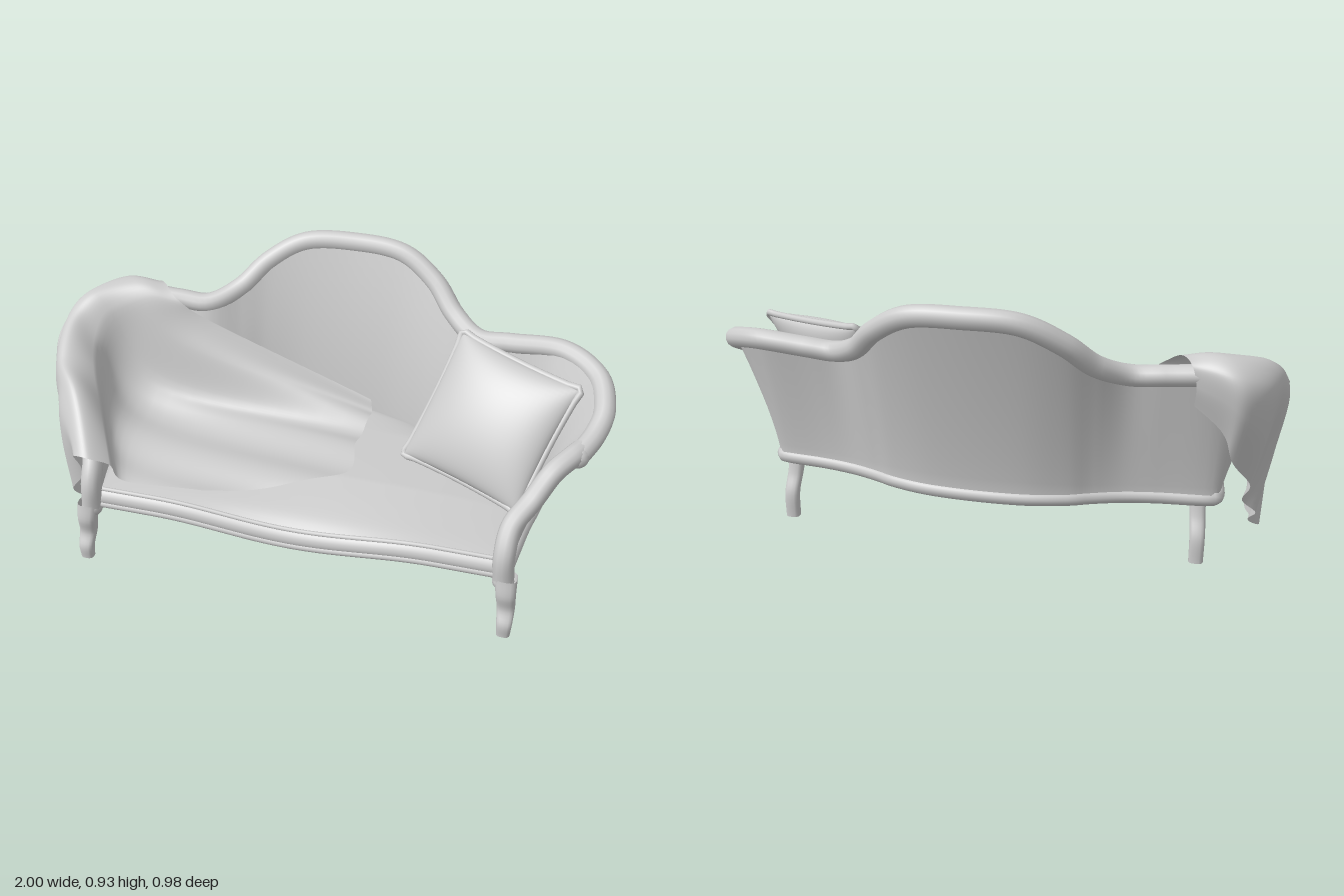
import * as THREE from 'three';
import { ParametricGeometry } from 'three/addons/geometries/ParametricGeometry.js';

const V = (p) => new THREE.Vector3(p[0], p[1], p[2]);
const lerp = THREE.MathUtils.lerp;
const mat = new THREE.MeshStandardMaterial({ color: 0xcccccc, roughness: 0.8, side: THREE.DoubleSide });

// smooth curve through points; "full" continues it with its mirror image
const curve = (pts) => new THREE.CatmullRomCurve3(pts.map(V), false, 'catmullrom', 0.5);
const full = (half) => curve([...half, ...half.slice(0, -1).reverse().map(([x, y, z]) => [-x, y, z])]);

// half paths run from the front of the left arm to the middle of the back
const RAIL = [[0.9, 0.54, 0.16], [0.945, 0.575, 0.07], [0.963, 0.62, -0.02], [0.925, 0.67, -0.14],
  [0.8, 0.7, -0.225], [0.62, 0.69, -0.24], [0.5, 0.685, -0.25], [0.4, 0.73, -0.32],
  [0.31, 0.815, -0.39], [0.18, 0.885, -0.44], [0, 0.897, -0.455]];
const POST = [[0.725, 0.2, 0.43], [0.72, 0.3, 0.425], [0.73, 0.38, 0.37], [0.78, 0.44, 0.3],
  [0.83, 0.515, 0.24], [0.88, 0.545, 0.18], [0.91, 0.55, 0.13]];
const TOP = [...POST.slice(1, 5), ...RAIL];
const BASE = [[0.725, 0.22, 0.41], [0.73, 0.22, 0.36], [0.74, 0.22, 0.28], [0.75, 0.22, 0.2],
  [0.762, 0.22, 0.13], [0.774, 0.22, 0.07], [0.784, 0.22, 0], [0.79, 0.22, -0.09],
  [0.76, 0.223, -0.125], [0.6, 0.226, -0.15], [0.48, 0.226, -0.175], [0.38, 0.226, -0.21],
  [0.3, 0.226, -0.245], [0.17, 0.226, -0.277], [0, 0.226, -0.287]];

export function createModel() {
  const sofa = new THREE.Group();
  sofa.name = 'sofa';

  const add = (name, geometry) => {
    const m = new THREE.Mesh(geometry, mat);
    m.name = name;
    sofa.add(m);
    return m;
  };
  const sheet = (name, fn, nu, nv) =>
    add(name, new ParametricGeometry((u, v, t) => t.copy(fn(u, v)), nu, nv));
  const tube = (name, path, r, n = 60, closed = false) =>
    add(name, new THREE.TubeGeometry(path, n, r, 12, closed));
  const knob = (name, p, r) =>
    add(name, new THREE.SphereGeometry(r, 14, 10)).position.copy(V(p));

  // upholstered back and arms: outer and inner skins between base and rail
  const top = full(TOP), base = full(BASE);
  sheet('outerShell', (u, v) => {
    const a = base.getPoint(u), b = top.getPoint(u), k = v ** 1.2;
    const out = 0.014 * (1 - v);
    return new THREE.Vector3(lerp(a.x, b.x, k) * (1 + out), lerp(a.y, b.y, v),
      lerp(a.z, b.z, k) - (a.z < -0.12 ? out : 0));
  }, 120, 10);
  sheet('innerShell', (u, v) => {
    const a = base.getPoint(u), b = top.getPoint(u);
    const pad = 0.025 + 0.012 * Math.sin(Math.PI * v), k = v ** 1.15;
    return new THREE.Vector3(lerp(a.x, b.x, k) * (1 - pad * 1.2), lerp(0.24, b.y, v),
      lerp(a.z, b.z, k) + pad * Math.min(1, Math.max(0, 0.4 - a.z) * 4));
  }, 120, 10);

  // rolled rail, arm posts and base trim
  tube('topRail', full(RAIL), 0.037, 140);
  tube('baseTrim', base, 0.027, 140);
  for (const s of [1, -1]) {
    const side = s > 0 ? 'left' : 'right';
    const flip = (p) => [s * p[0], p[1], p[2]];
    knob(side + 'RailEnd', flip(RAIL[0]), 0.039);
    tube(side + 'ArmPost', curve(POST.map(flip)), 0.036, 40);
    knob(side + 'PostFoot', flip(POST[0]), 0.037);
  }

  // seat: strips from one side of the base to the other, gently domed
  const half = curve(BASE);
  const dip = (x) => (Math.abs(x) < 0.5 ? 0.035 * Math.cos(Math.PI * x) ** 2 : 0);
  sheet('seat', (u, v) => {
    const p = half.getPoint(u), x = p.x * (2 * v - 1);
    const dome = 0.04 * Math.sqrt(Math.max(0, Math.sin(Math.PI * v))) * Math.min(1, u * 4);
    return new THREE.Vector3(x, 0.268 + dome - dip(x) * (1 - u) ** 8, p.z);
  }, 50, 40);
  sheet('underside', (u, v) => {
    const p = half.getPoint(u), x = p.x * (2 * v - 1);
    return new THREE.Vector3(x, 0.2 - dip(x) * (1 - u) ** 12, p.z);
  }, 40, 30);

  // front apron with a serpentine lower edge
  sheet('frontApron', (u, v) => {
    const x = lerp(-0.72, 0.72, u);
    return new THREE.Vector3(x, 0.2 - dip(x) + 0.07 * v,
      0.405 + 0.03 * Math.sqrt(Math.max(0, Math.sin(Math.PI * v))));
  }, 60, 10);
  const edge = (y, z) => curve(Array.from({ length: 25 }, (_, i) => {
    const x = -0.72 + i * 0.06;
    return [x, y - dip(x), z];
  }));
  tube('apronTrim', edge(0.214, 0.424), 0.014, 70);
  tube('seatPiping', edge(0.268, 0.41), 0.008, 70);

  // curved tapering legs with softly squared sections, closed at the foot
  const soft = (c) => Math.sign(c) * Math.abs(c) ** 0.7;
  const leg = (name, pts, r0, r1) => {
    const c = curve(pts);
    sheet(name, (u, v) => {
      const t = Math.min(1, u / 0.95), p = c.getPoint(t), a = v * Math.PI * 2;
      const r = u > 0.96 ? 0 : lerp(r0, r1, t);
      return new THREE.Vector3(p.x + r * soft(Math.cos(a)), p.y, p.z + 0.85 * r * soft(Math.sin(a)));
    }, 20, 16);
  };
  for (const s of [1, -1]) {
    const side = s > 0 ? 'left' : 'right';
    leg(side + 'FrontLeg', [[s * 0.735, 0.22, 0.435], [s * 0.74, 0.16, 0.448], [s * 0.745, 0.1, 0.443],
      [s * 0.747, 0.05, 0.468], [s * 0.747, 0, 0.469]], 0.037, 0.023);
    leg(side + 'BackLeg', [[s * 0.73, 0.22, -0.115], [s * 0.735, 0.16, -0.13],
      [s * 0.74, 0.09, -0.158], [s * 0.74, 0, -0.16]], 0.028, 0.025);
  }

  // plump throw pillow leaning in the left corner
  const [bl, br, tl, tr] = [[0.305, 0.35, 0.04], [0.735, 0.335, 0.245], [0.455, 0.75, -0.175], [0.88, 0.715, 0.035]].map(V);
  const normal = br.clone().sub(bl).cross(tl.clone().sub(bl)).normalize();
  const pillowAt = (a, b, h) => {
    const pinch = (q) => 0.04 * (1 - q * q); // edges draw in between the corners
    const u = 0.5 + 0.5 * a * (1 - pinch(b)), v = 0.5 + 0.5 * b * (1 - pinch(a));
    return bl.clone().lerp(br, u).lerp(tl.clone().lerp(tr, u), v).addScaledVector(normal, h);
  };
  for (const s of [1, -1]) {
    sheet(s > 0 ? 'pillowFront' : 'pillowBack', (u, v) => {
      const a = Math.sin((u - 0.5) * Math.PI), b = Math.sin((v - 0.5) * Math.PI);
      return pillowAt(a, b, s * 0.085 * Math.max(0, (1 - a * a) * (1 - b * b)) ** 0.45);
    }, 28, 28);
  }
  const rim = [];
  for (let i = 0; i < 40; i++) {
    const k = i % 10 / 5 - 1;
    rim.push(pillowAt(...[[k, -1], [1, k], [-k, 1], [-1, -k]][Math.floor(i / 10)], 0));
  }
  tube('pillowPiping', new THREE.CatmullRomCurve3(rim, true), 0.012, 100, true);

  // blanket: each section runs from the outer hem, over the arm, to the edge on the seat
  const sections = [
    [[-0.79, 0.33, 0.37], [-0.79, 0.38, 0.4], [-0.765, 0.41, 0.43], [-0.71, 0.415, 0.44], [-0.65, 0.38, 0.41], [-0.6, 0.305, 0.4], [-0.33, 0.305, 0.375]],
    [[-0.87, 0.11, 0.265], [-0.89, 0.35, 0.27], [-0.89, 0.5, 0.26], [-0.83, 0.565, 0.26], [-0.75, 0.5, 0.24], [-0.65, 0.33, 0.25], [-0.05, 0.32, 0.28]],
    [[-0.92, 0.02, 0.15], [-0.94, 0.3, 0.15], [-0.965, 0.52, 0.13], [-0.93, 0.61, 0.13], [-0.83, 0.56, 0.1], [-0.66, 0.34, 0.1], [0.13, 0.325, 0.15]],
    [[-0.91, 0.1, 0.04], [-0.96, 0.35, 0.03], [-1, 0.58, -0.01], [-0.96, 0.675, -0.02], [-0.87, 0.62, -0.02], [-0.66, 0.36, -0.02], [0.12, 0.325, 0]],
    [[-0.89, 0.21, -0.05], [-0.95, 0.45, -0.1], [-0.98, 0.64, -0.14], [-0.93, 0.73, -0.13], [-0.84, 0.69, -0.1], [-0.64, 0.43, -0.08], [0.13, 0.335, -0.1]],
    [[-0.86, 0.4, -0.22], [-0.885, 0.58, -0.28], [-0.87, 0.7, -0.285], [-0.8, 0.765, -0.22], [-0.72, 0.73, -0.16], [-0.56, 0.56, -0.13], [0.14, 0.36, -0.17]],
    [[-0.72, 0.6, -0.255], [-0.72, 0.67, -0.27], [-0.7, 0.735, -0.265], [-0.66, 0.755, -0.22], [-0.6, 0.72, -0.18], [-0.45, 0.63, -0.185], [0.13, 0.385, -0.2]],
  ].map((s) => curve(s));
  sheet('blanket', (u, v) => {
    const across = new THREE.CatmullRomCurve3(sections.map((c) => c.getPoint(u)), false, 'catmullrom', 0.5);
    const p = across.getPoint(v);
    // soft folds: upright on the hanging part, slanted inside the arm and on the seat
    const hang = Math.max(0, 1 - u * 2.5), lie = Math.max(0, u - 0.45);
    p.x += 0.018 * hang * Math.sin(v * 32);
    p.y += 0.016 * lie * Math.sin(v * 24 + u * 9);
    return p;
  }, 60, 60);

  return sofa;
}
